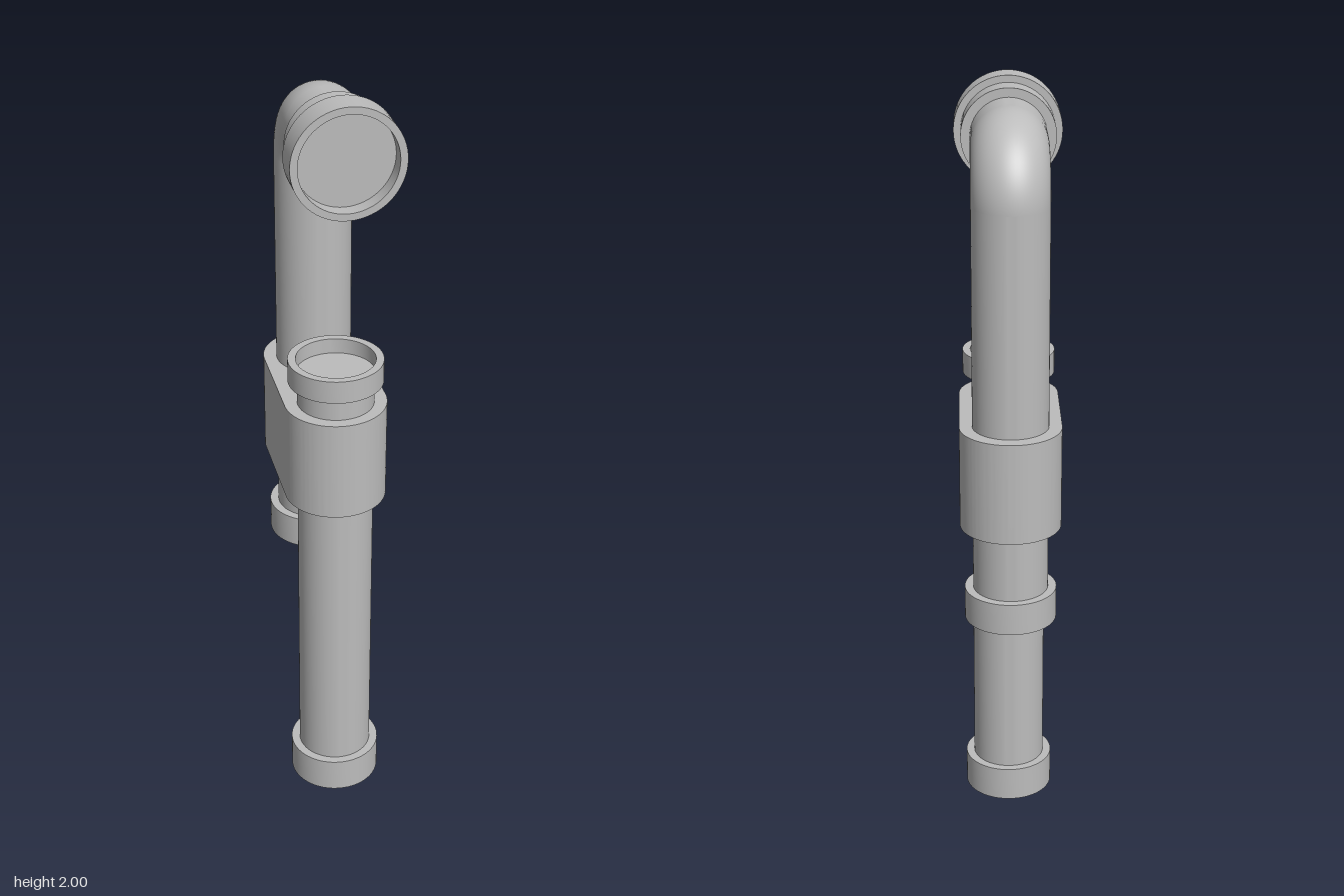
import * as THREE from 'three';
import { toCreasedNormals } from 'three/addons/utils/BufferGeometryUtils.js';

const R = 0.097; // tube radius
const FRONT_Z = 0.127, REAR_Z = -0.12;
const BEND_Y = 1.742, BEND_R = 0.12;

export function createModel() {
  const group = new THREE.Group();
  const grey = new THREE.MeshStandardMaterial({ color: 0xbcbcbc });
  grey.name = 'grey';

  function add(name, geometry, y, z) {
    const mesh = new THREE.Mesh(geometry, grey);
    mesh.name = name;
    mesh.position.set(0, y, z);
    group.add(mesh);
    return mesh;
  }

  // Turned part: profile of [radius, height] from bottom to top
  function turned(profile) {
    const points = profile.map(([r, h]) => new THREE.Vector2(r, h));
    return toCreasedNormals(new THREE.LatheGeometry(points, 64), 0.6);
  }

  // Recessed collar at the lower end of a tube
  const lowerCollar = (y, height) => [
    [0, y + 0.04], [0.1, y + 0.04], [0.1, y], [0.119, y], [0.119, y + height], [R, y + height],
  ];

  // Front tube with a recessed collar at each end
  add('frontTube', turned([
    ...lowerCollar(0, 0.095),
    [R, 1.24], [0.12, 1.24], [0.12, 1.3], [0.1, 1.3], [0.1, 1.26], [0, 1.26],
  ]), 0, FRONT_Z);

  // Rear tube, open where it meets the elbow
  add('rearTube', turned([...lowerCollar(0.65, 0.085), [R, BEND_Y]]), 0, REAR_Z);

  // Quarter bend turning forwards
  const bend = new THREE.TorusGeometry(BEND_R, R, 64, 24, Math.PI / 2);
  bend.rotateY(Math.PI / 2);
  add('elbow', bend, BEND_Y, 0);

  // Horizontal tube with the stepped, recessed viewing end
  const head = turned([
    [R, 0], [R, 0.102], [0.12, 0.102], [0.12, 0.173], [0.138, 0.173],
    [0.138, 0.249], [0.12, 0.249], [0.12, 0.21], [0, 0.21],
  ]);
  head.rotateX(Math.PI / 2);
  add('viewingHead', head, BEND_Y + BEND_R, 0);

  // Round-ended clamp joining both tubes
  const r = 0.13, c = 0.124;
  const outline = new THREE.Shape();
  outline.absarc(0, c, r, 0, Math.PI, false);
  outline.absarc(0, -c, r, Math.PI, 2 * Math.PI, false);
  outline.closePath();
  const clamp = new THREE.ExtrudeGeometry(outline, { depth: 0.267, bevelEnabled: false, curveSegments: 32 });
  clamp.rotateX(-Math.PI / 2);
  add('clamp', toCreasedNormals(clamp, 0.6), 0.912, 0);

  return group;
}
